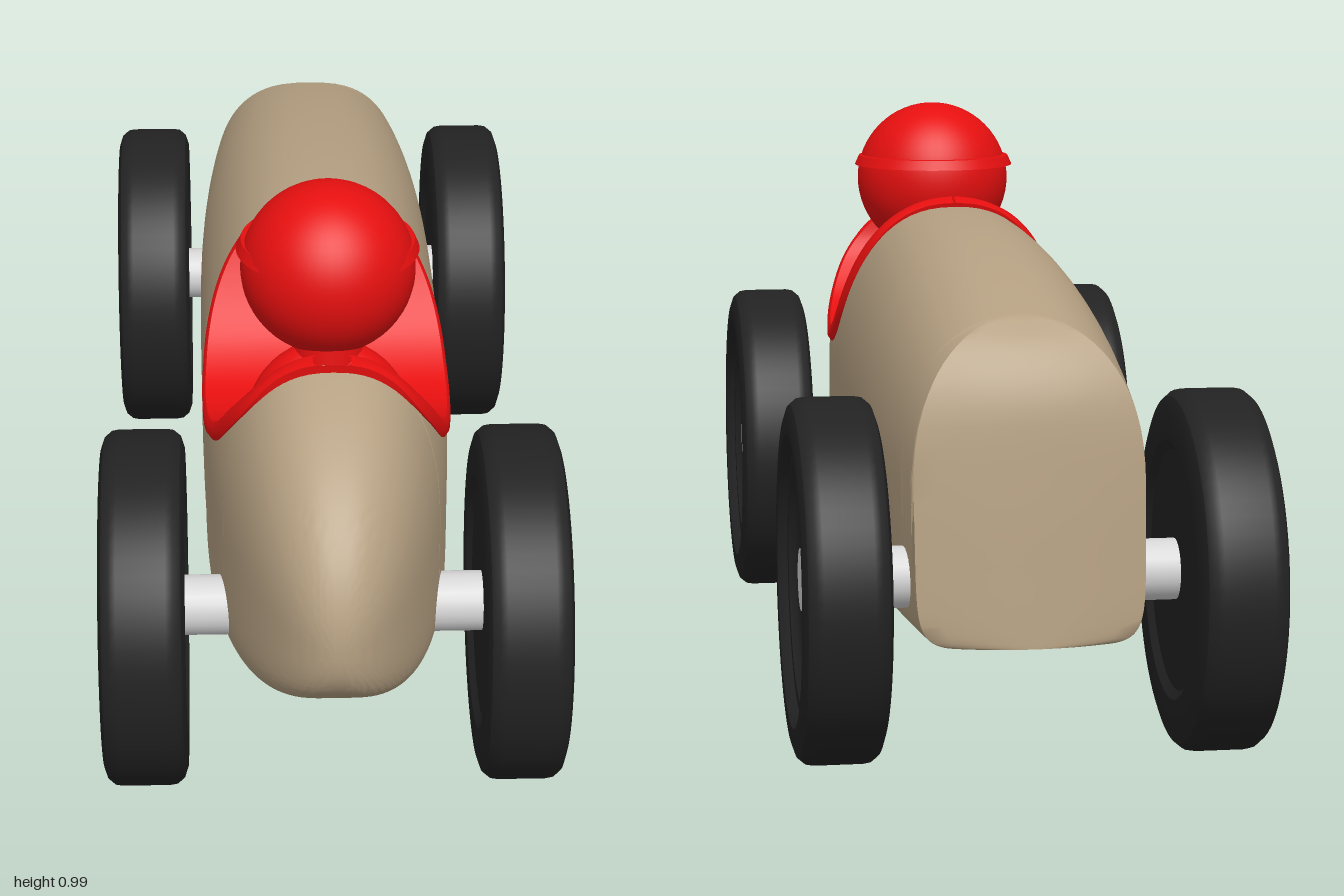
import * as THREE from 'three';
import { toCreasedNormals } from 'three/addons/utils/BufferGeometryUtils.js';

const mat = (name, color) => Object.assign(new THREE.MeshStandardMaterial({ color }), { name });

// Skin closed rings of [x, y, z]; rings run towards -z, each counter-clockwise seen from +z
function loft(rings, crease) {
  const n = rings[0].length, index = [];
  for (let i = 0; i < rings.length - 1; i++) {
    for (let j = 0; j < n; j++) {
      const a = i * n + j, b = i * n + (j + 1) % n, c = a + n, d = b + n;
      index.push(a, c, b, b, c, d);
    }
  }
  const g = new THREE.BufferGeometry();
  g.setAttribute('position', new THREE.Float32BufferAttribute(rings.flat(2), 3));
  g.setIndex(index);
  return toCreasedNormals(g, crease);
}

// Body section at z: half width, arch top, bottom, height of the widest line
const tail = z => (z < 0.3 ? 1 : Math.sqrt(Math.max(0, 1 - ((z - 0.3) / 0.7) ** 2)));
function section(z) {
  const e = tail(z), back = Math.max(0, -0.2 - z);
  return {
    w: z > 0.3 ? 0.212 * e : 0.22 - (z > -0.2 ? 0.032 : 0.09) * (z + 0.2) ** 2,
    top: z > 0.1 ? 0.41 + 0.41 * e : 0.82 - 0.15 * (0.1 - z) ** 2,
    bottom: 0.41 - 0.23 * e ** 0.8 + 0.035 * back,
    mid: 0.41 + 0.04 * e,
    n: 2 + 6 * e,
  };
}
const ARCH = 2.4;

// Smooth curve through [z, y] points, with samples gathered at both ends
function profile(points, count) {
  const c = new THREE.SplineCurve(points.map(p => new THREE.Vector2(...p)));
  return Array.from({ length: count + 1 }, (_, i) => c.getPoint((1 - Math.cos(Math.PI * i / count)) / 2));
}
const cockpit = profile([[0.665, 0.77], [0.655, 0.70], [0.62, 0.645], [0.55, 0.583], [0.45, 0.55],
  [0.36, 0.555], [0.28, 0.595], [0.22, 0.66], [0.17, 0.75], [0.145, 0.832]], 90);
const rear = profile([[-0.65, 0.75], [-0.70, 0.715], [-0.735, 0.665], [-0.76, 0.59],
  [-0.777, 0.45], [-0.79, 0.31], [-0.80, 0.202]], 40);

// Height at which the body is cut off at z
function cutHeight(z) {
  for (const line of [cockpit, rear]) {
    for (let i = 0; i < line.length - 1; i++) {
      const p = line[i], q = line[i + 1];
      if (z <= p.x && z >= q.x) return p.y + (q.y - p.y) * (p.x - z) / Math.max(1e-6, p.x - q.x);
    }
  }
  return 9;
}

function bodyRing(z) {
  const s = section(z), hTop = s.top - s.mid, hLow = s.mid - s.bottom;
  const cut = Math.max(s.bottom + 0.001, Math.min(s.top, cutHeight(z)));
  const end = cut >= s.mid
    ? Math.asin(Math.min(1, ((cut - s.mid) / hTop) ** (ARCH / 2)))
    : -Math.asin(Math.min(1, ((s.mid - cut) / hLow) ** (s.n / 2)));
  const half = [];
  for (let i = 0; i <= 40; i++) {
    const a = -Math.PI / 2 + (end + Math.PI / 2) * i / 40;
    const c = Math.max(0, Math.cos(a)), v = Math.abs(Math.sin(a));
    const n = a > 0 ? ARCH : s.n;
    half.push([s.w * c ** (2 / n), a > 0 ? s.mid + hTop * v ** (2 / n) : s.mid - hLow * v ** (2 / n), z]);
  }
  // cut face, bowed slightly outwards at the rear end
  const edge = half[40][0], bow = THREE.MathUtils.clamp((-0.7 - z) / 0.06, 0, 1) * 0.02;
  for (let i = 1; i <= 5; i++) {
    const k = 1 - i / 5;
    half.push([edge * k, cut, z - bow * (1 - k * k)]);
  }
  const mirror = half.slice(1, -1).reverse().map(([x, y, zz]) => [-x, y, zz]);
  return [...half, ...mirror];
}

function bodyGeometry() {
  const zs = [...cockpit, ...rear].map(p => p.x);
  for (let i = 0; i <= 30; i++) zs.push(1 - 0.335 * (i / 30) ** 2);
  for (let i = 1; i < 30; i++) zs.push(0.145 - 0.795 * i / 30);
  zs.sort((a, b) => b - a);
  return loft(zs.filter((z, i) => i === 0 || zs[i - 1] - z > 1e-5).map(bodyRing), 0.6);
}

// Lining sheet that follows the cockpit cut, a little wider than the body
function liningGeometry() {
  const t = 0.016;
  return loft(cockpit.map((p, i) => {
    const a = cockpit[Math.max(0, i - 1)], b = cockpit[Math.min(cockpit.length - 1, i + 1)];
    const d = b.clone().sub(a).normalize();
    const s = section(p.x), v = THREE.MathUtils.clamp((p.y - s.mid) / (s.top - s.mid + 0.012), 0, 1);
    const w = Math.max(0.002, (s.w + 0.008) * (1 - v ** ARCH) ** (1 / ARCH));
    const inner = Math.max(0.001, w - 0.006);
    return [[inner, -t], [w, -t / 2], [w, t / 2], [inner, t], [-inner, t], [-w, t / 2], [-w, -t / 2], [-inner, -t]]
      .map(([x, o]) => [x, p.y - d.x * o, p.x + d.y * o]);
  }), 0.7);
}

// Tyre and dished hub turned in one piece; +y is the outer face
function wheelGeometry() {
  const pts = [[0, -0.06], [0.2, -0.06], [0.215, -0.07], [0.27, -0.07], [0.288, -0.064], [0.298, -0.052], [0.3, -0.04],
    [0.3, 0.04], [0.298, 0.052], [0.288, 0.064], [0.27, 0.07], [0.24, 0.07], [0.232, 0.062], [0.226, 0.054],
    [0.205, 0.054], [0.196, 0.044], [0.18, 0.038], [0.075, 0.038], [0.065, 0.044], [0, 0.044]];
  return toCreasedNormals(new THREE.LatheGeometry(pts.map(p => new THREE.Vector2(...p)), 64), 0.55);
}

export function createModel() {
  const model = new THREE.Group();
  const wood = mat('tan body', 0xb5a082), red = mat('red', 0xe60f0f);
  const black = mat('black rubber', 0x222222), metal = mat('light metal', 0xd6d6d6);
  const add = (name, geometry, material, x = 0, y = 0, z = 0, parent = model) => {
    const m = new THREE.Mesh(geometry, material);
    m.name = name;
    m.position.set(x, y, z);
    parent.add(m);
    return m;
  };

  add('body', bodyGeometry(), wood);
  add('cockpitLining', liningGeometry(), red);

  // Driver
  const driver = new THREE.Group();
  driver.name = 'driver';
  model.add(driver);
  add('head', new THREE.SphereGeometry(0.147, 48, 32), red, 0, 0.845, 0.462, driver);
  add('visor', new THREE.CylinderGeometry(0.146, 0.154, 0.018, 48), red, 0, 0.882, 0.447, driver);
  add('neck', new THREE.CylinderGeometry(0.055, 0.065, 0.1, 32), red, 0, 0.7, 0.5, driver);
  add('torso', new THREE.SphereGeometry(1, 40, 24), red, 0, 0.58, 0.51, driver).scale.set(0.14, 0.15, 0.08);

  // Axles and wheels
  const wheel = wheelGeometry();
  for (const [end, z] of [['front', 0.645], ['back', -0.7]]) {
    add(end + 'Axle', new THREE.CylinderGeometry(0.051, 0.051, 0.734, 24), metal, 0, 0.302, z).rotation.z = Math.PI / 2;
    for (const side of [1, -1]) {
      add(end + (side > 0 ? 'Left' : 'Right') + 'Wheel', wheel, black, side * 0.315, 0.3, z)
        .rotation.z = -side * Math.PI / 2;
    }
  }
  return model;
}
